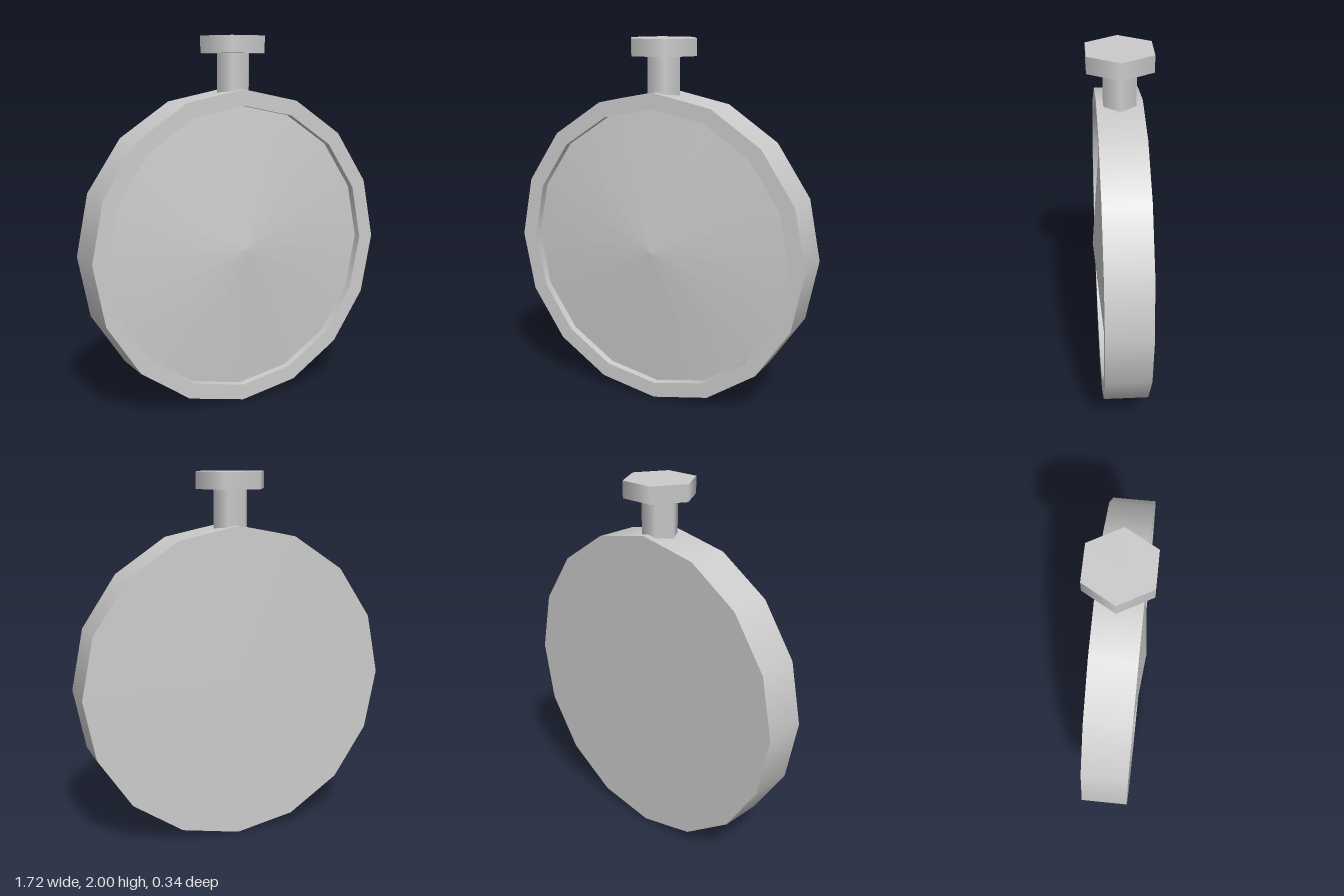
import * as THREE from 'three';
import { mergeGeometries } from 'three/addons/utils/BufferGeometryUtils.js';

const R = 0.861, INNER = 0.775, HALF = 0.12;

// Revolves a profile of [radius, z] points about the z axis, one crisp band per step
function turned(profile, sides) {
  const bands = [];
  for (let i = 1; i < profile.length; i++) {
    const pair = [profile[i - 1], profile[i]].map(([r, z]) => new THREE.Vector2(r, z));
    bands.push(new THREE.LatheGeometry(pair, sides));
  }
  return mergeGeometries(bands).rotateX(Math.PI / 2);
}

export function createModel() {
  const model = new THREE.Group();
  const material = new THREE.MeshStandardMaterial({ color: 0xcccccc });

  function add(name, geometry, y) {
    const mesh = new THREE.Mesh(geometry, material);
    mesh.name = name;
    mesh.position.y = y;
    model.add(mesh);
  }

  // Hexagonal prism with corners on the x axis
  function hexagon(name, radius, bottom, top) {
    const geometry = new THREE.CylinderGeometry(radius, radius, top - bottom, 6);
    add(name, geometry.rotateY(Math.PI / 2), (bottom + top) / 2);
  }

  // Round case: flat back, outer wall, front rim and recess wall
  add('case', turned([[0, -HALF], [R, -HALF], [R, HALF], [INNER, HALF], [INNER, 0.076]], 16), R);

  // Shallow conical face set inside the rim, rising just past it
  add('face', turned([[INNER, 0.076], [0, 0.15]], 16), R);

  // Winding stem and its button
  hexagon('stem', 0.097, 1.66, 1.91);
  hexagon('button', 0.195, 1.91, 2);

  return model;
}
